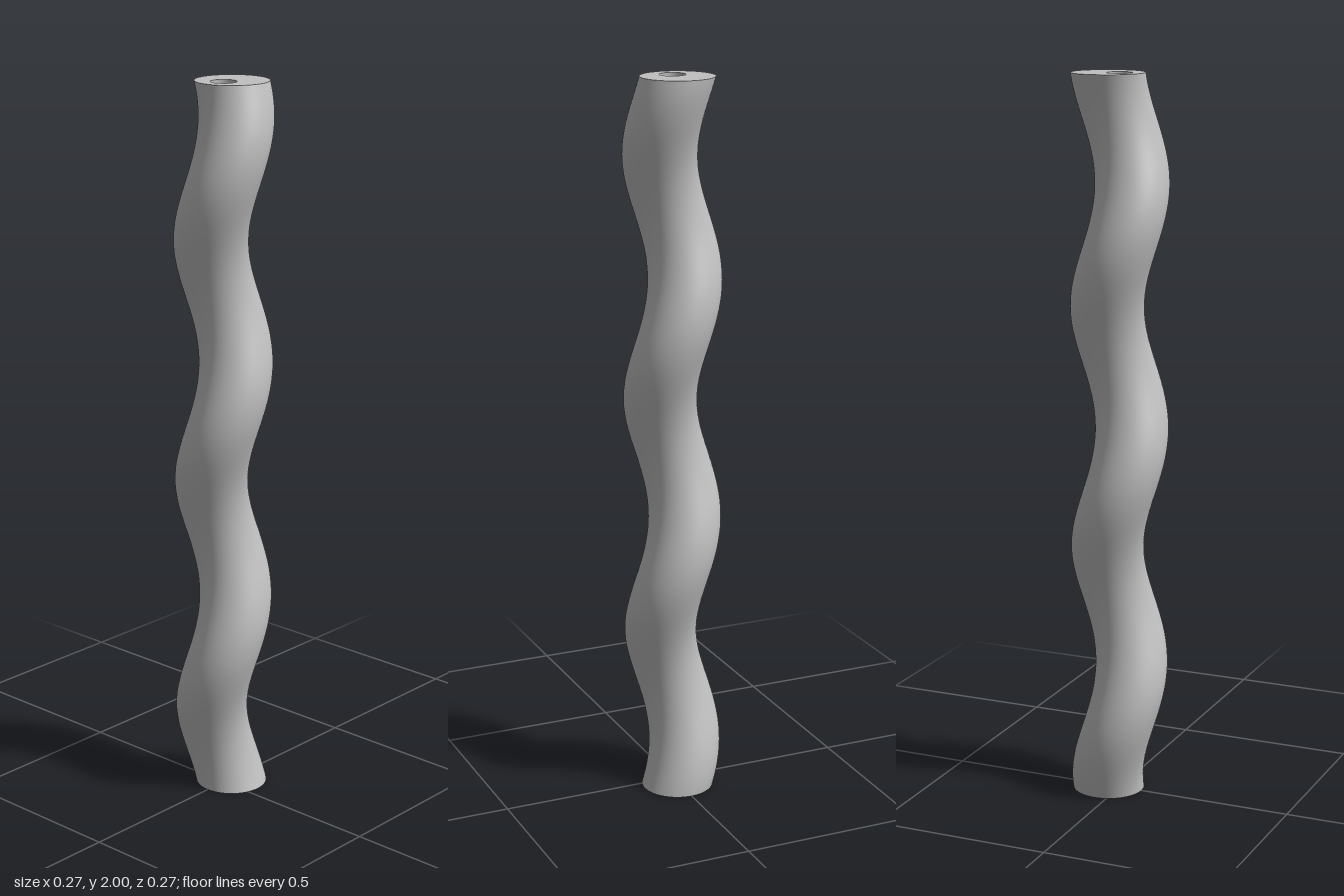
import * as THREE from 'three';
import { mergeVertices } from 'three/addons/utils/BufferGeometryUtils.js';

const HEIGHT = 2, RADIUS = 0.1, OFFSET = 0.0333, TURNS = 3;
const BORE = 0.035, BORE_DEPTH = 0.3, SIDES = 96;

export function createModel() {
  const group = new THREE.Group();
  group.name = 'twistedColumn';
  const grey = new THREE.MeshStandardMaterial({ color: 0xc0c0c0 });
  grey.name = 'light grey';

  const add = (name, geometry) => {
    const mesh = new THREE.Mesh(geometry, grey);
    mesh.name = name;
    group.add(mesh);
    return mesh;
  };

  // Shaft: every horizontal slice is a circle carried around the axis
  let shaft = new THREE.CylinderGeometry(RADIUS, RADIUS, HEIGHT, SIDES, 180, true);
  shaft.translate(0, HEIGHT / 2, 0);
  const p = shaft.attributes.position;
  for (let i = 0; i < p.count; i++) {
    const a = (p.getY(i) / HEIGHT) * TURNS * Math.PI * 2;
    p.setX(i, p.getX(i) + OFFSET * Math.cos(a));
    p.setZ(i, p.getZ(i) - OFFSET * Math.sin(a));
  }
  shaft.deleteAttribute('uv');
  shaft.deleteAttribute('normal');
  shaft = mergeVertices(shaft, 1e-5);
  shaft.computeVertexNormals();
  add('shaft', shaft);

  // Top face with the bore opening on the central axis
  const face = new THREE.Shape().absarc(OFFSET, 0, RADIUS, 0, Math.PI * 2);
  face.holes.push(new THREE.Path().absarc(0, 0, BORE, 0, Math.PI * 2, true));
  add('topFace', new THREE.ShapeGeometry(face, SIDES / 2).rotateX(-Math.PI / 2).translate(0, HEIGHT, 0));

  // Bottom face
  add('bottomFace', new THREE.CircleGeometry(RADIUS, SIDES).rotateX(Math.PI / 2).translate(OFFSET, 0, 0));

  // Straight blind bore: an inward-facing wall and a floor
  const wall = new THREE.LatheGeometry(
    [new THREE.Vector2(BORE, HEIGHT), new THREE.Vector2(BORE, HEIGHT - BORE_DEPTH)], 48);
  add('boreWall', wall);
  add('boreFloor', new THREE.CircleGeometry(BORE, 48).rotateX(-Math.PI / 2).translate(0, HEIGHT - BORE_DEPTH, 0));

  return group;
}
